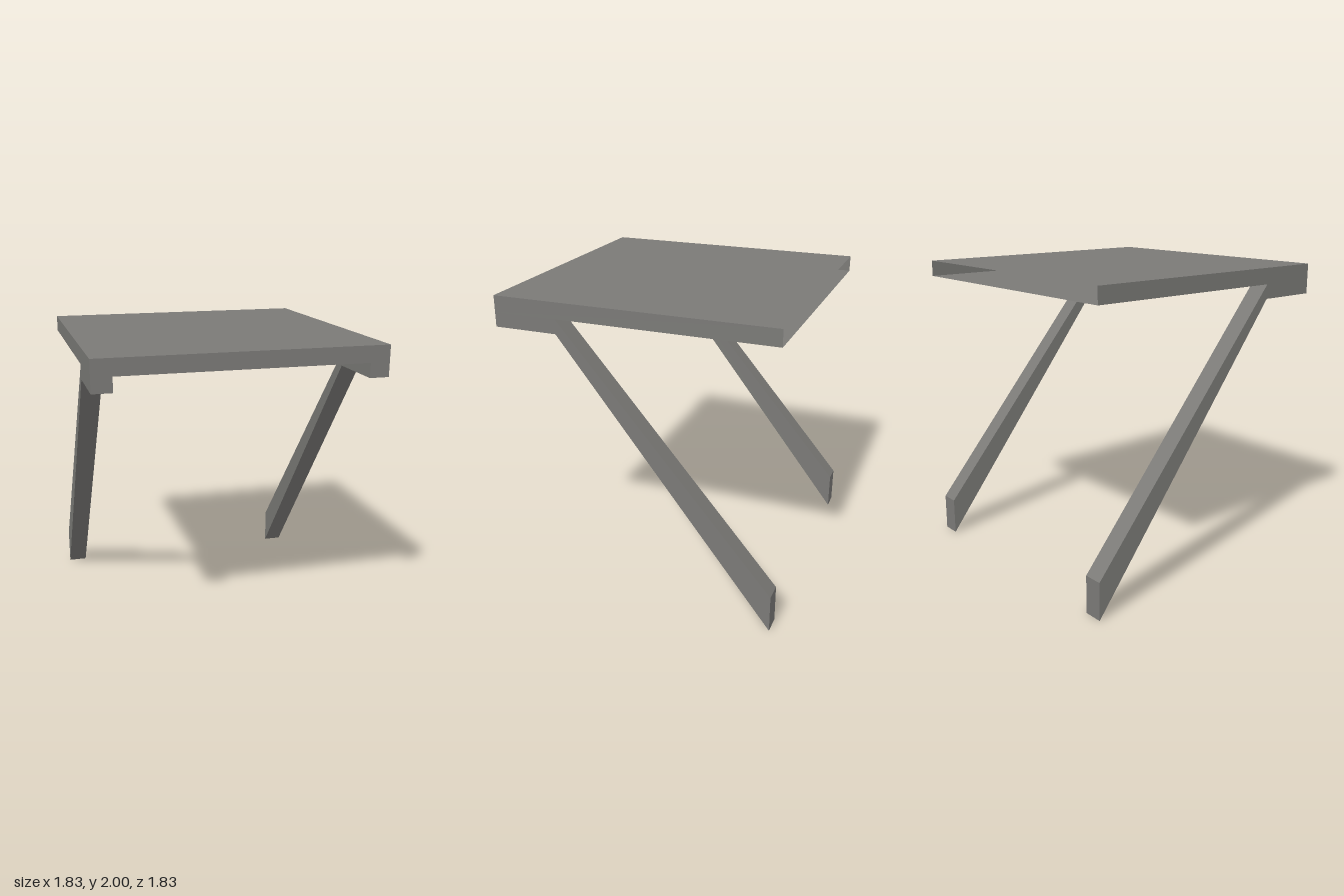
import * as THREE from 'three';

const HALF = 0.913;      // half width and depth of the top
const UNDER = 1.894;     // underside of the top
const LEG_W = 0.126;     // leg thickness across x

export function createModel() {
  const model = new THREE.Group();
  model.name = 'table';
  const grey = new THREE.MeshStandardMaterial({ color: 0x7b7a77, side: THREE.DoubleSide });
  grey.name = 'warm grey';

  // Hollow top, open at the back: the last box face (-z) is dropped
  const topGeo = new THREE.BoxGeometry(HALF * 2, 2 - UNDER, HALF * 2);
  topGeo.setIndex(Array.from(topGeo.index.array).slice(0, 30));
  topGeo.clearGroups();
  const top = new THREE.Mesh(topGeo, grey);
  top.name = 'tableTop';
  top.position.y = (2 + UNDER) / 2;
  model.add(top);

  // Side profile (z, y): a short rail at the front running into a slanted leg
  const profile = new THREE.Shape([
    [HALF, UNDER], [0.497, UNDER], [-HALF, 0.25],
    [-HALF, 0], [0.497, 1.8], [HALF, 1.8],
  ].map(([z, y]) => new THREE.Vector2(z, y)));
  const legGeo = new THREE.ExtrudeGeometry(profile, { depth: LEG_W, bevelEnabled: false });
  legGeo.rotateY(-Math.PI / 2).translate(LEG_W / 2, 0, 0);

  for (const [name, side] of [['leftLeg', 1], ['rightLeg', -1]]) {
    const leg = new THREE.Mesh(legGeo, grey);
    leg.name = name;
    leg.position.x = side * (HALF - LEG_W / 2);
    model.add(leg);
  }
  return model;
}
